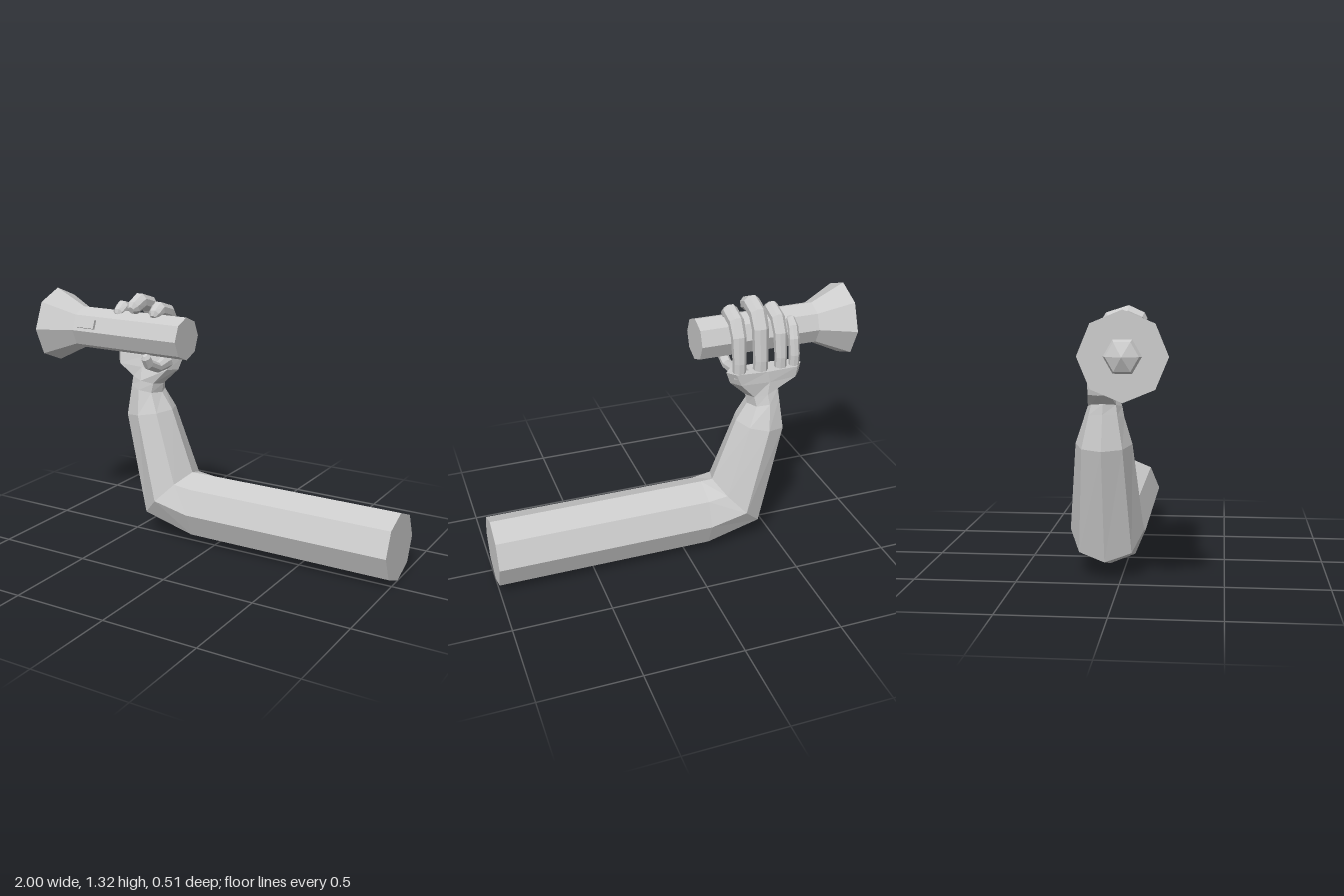
import * as THREE from 'three';

const material = new THREE.MeshStandardMaterial({ color: 0xcccccc, flatShading: true });

function addMesh(parent, name, geometry) {
  const mesh = new THREE.Mesh(geometry, material);
  mesh.name = name;
  parent.add(mesh);
  return mesh;
}

// Skin a closed, capped surface over rings that turn right-handed about the travel direction
function loft(rings) {
  const n = rings[0].length, pos = [], idx = [];
  rings.forEach(ring => ring.forEach(p => pos.push(p.x, p.y, p.z)));
  for (let i = 0; i < rings.length - 1; i++) {
    for (let j = 0; j < n; j++) {
      const a = i * n + j, b = i * n + (j + 1) % n;
      idx.push(a, b, b + n, a, b + n, a + n);
    }
  }
  const last = (rings.length - 1) * n;
  for (let j = 1; j < n - 1; j++) {
    idx.push(0, j + 1, j, last, last + j, last + j + 1);
  }
  const geometry = new THREE.BufferGeometry();
  geometry.setAttribute('position', new THREE.Float32BufferAttribute(pos, 3));
  geometry.setIndex(idx);
  const flat = geometry.toNonIndexed();
  flat.computeVertexNormals();
  return flat;
}

// Eight-sided arm ring from its inner and outer points; a power below 1 makes it boxier
function armRing([ix, iy, ox, oy, cz, hz, power = 1]) {
  const soft = t => Math.sign(t) * Math.pow(Math.abs(t), power);
  return Array.from({ length: 8 }, (_, k) => {
    const a = k * Math.PI / 4, c = soft(Math.cos(a)), s = soft(Math.sin(a));
    return new THREE.Vector3(
      (ix + ox) / 2 + (ix - ox) / 2 * c,
      (iy + oy) / 2 + (iy - oy) / 2 * c,
      cz - hz * s);
  });
}

// Eight-sided finger along [x, y, z, radius] points, with a blunt rounded tip
function finger(points) {
  const centres = points.map(p => new THREE.Vector3(p[0], p[1], p[2]));
  const radii = points.map(p => p[3]);
  const end = centres.length - 1;
  const tipDir = centres[end].clone().sub(centres[end - 1]).normalize();
  centres.push(centres[end].clone().addScaledVector(tipDir, radii[end] * 0.6));
  radii.push(radii[end] * 0.45);
  const rings = centres.map((c, i) => {
    const d = centres[Math.min(i + 1, centres.length - 1)].clone()
      .sub(centres[Math.max(i - 1, 0)]).normalize();
    const u = new THREE.Vector3(1, 0, 0).addScaledVector(d, -d.x).normalize();
    const v = d.clone().cross(u);
    return Array.from({ length: 8 }, (_, k) => {
      const a = (k + 0.5) * Math.PI / 4;
      return c.clone().addScaledVector(u, radii[i] * Math.cos(a))
        .addScaledVector(v, radii[i] * Math.sin(a));
    });
  });
  return loft(rings);
}

export function createModel() {
  const model = new THREE.Group();
  model.name = 'armWithTorch';

  // Upper arm, elbow, forearm, wrist and palm in one skin
  addMesh(model, 'arm', loft([
    [1, 0.356, 1, 0, -0.08, 0.178],
    [-0.12, 0.356, -0.12, 0, -0.08, 0.178],
    [-0.185, 0.356, -0.44, 0.09, -0.077, 0.181],
    [-0.31, 0.69, -0.572, 0.65, -0.077, 0.136],
    [-0.37, 0.78, -0.545, 0.82, -0.073, 0.095],
    [-0.36, 0.83, -0.54, 0.87, -0.07, 0.082],
    [-0.27, 0.915, -0.65, 0.92, -0.08, 0.066, 0.7],
    [-0.245, 0.98, -0.655, 0.975, -0.088, 0.056, 0.6],
  ].map(armRing)));

  // Three long fingers curling over the top: x, radius, crest height, tip z
  const hand = new THREE.Group();
  hand.name = 'fingers';
  model.add(hand);
  [
    ['indexFinger', -0.31, 0.041, 1.25, 0.075],
    ['middleFinger', -0.425, 0.045, 1.28, 0.1],
    ['ringFinger', -0.535, 0.037, 1.24, 0.075],
  ].forEach(([name, x, r, top, tip]) => {
    addMesh(hand, name, finger([
      [x, 0.95, -0.1, r * 0.85],
      [x, 1.03, -0.1, r * 0.85],
      [x, top - 0.09, -0.08, r * 0.95],
      [x, top - 0.025, -0.04, r],
      [x, top, 0.04, r],
      [x, top - 0.025, tip, r * 0.85],
    ]));
  });
  addMesh(hand, 'littleFinger', finger([
    [-0.61, 0.95, -0.1, 0.027],
    [-0.61, 1.03, -0.1, 0.028],
    [-0.61, 1.11, -0.085, 0.028],
    [-0.615, 1.165, -0.055, 0.027],
    [-0.615, 1.195, -0.02, 0.022],
  ]));

  // Thumb wrapping under the handle
  addMesh(hand, 'thumb', finger([
    [-0.325, 0.96, -0.1, 0.045],
    [-0.32, 0.957, -0.02, 0.036],
    [-0.31, 0.948, 0.06, 0.027],
    [-0.31, 0.982, 0.14, 0.028],
    [-0.31, 1.02, 0.162, 0.026],
  ]));

  // Torch lies along x with its head towards -x
  const torch = new THREE.Group();
  torch.name = 'torch';
  torch.position.set(0, 1.117, 0.06);
  model.add(torch);
  const turned = (name, profile, sides) => {
    const points = profile.map(([r, y]) => new THREE.Vector2(r, y));
    const mesh = addMesh(torch, name, new THREE.LatheGeometry(points, sides));
    mesh.rotation.z = Math.PI / 2;
    return mesh;
  };
  // Profiles run from the tail end (low) to the head (high)
  turned('torchBody', [[0, 0.13], [0.11, 0.13], [0.11, 0.77], [0.196, 0.945], [0, 0.945]], 8);
  turned('bulb', [[0.085, 0.94], [0.072, 0.97], [0, 1]], 6);

  // Switch on the upper front facet
  const button = addMesh(torch, 'switchButton', new THREE.BoxGeometry(0.11, 0.048, 0.025));
  button.position.set(-0.685, 0.039, 0.097);
  button.rotation.x = -Math.PI / 8;

  return model;
}
